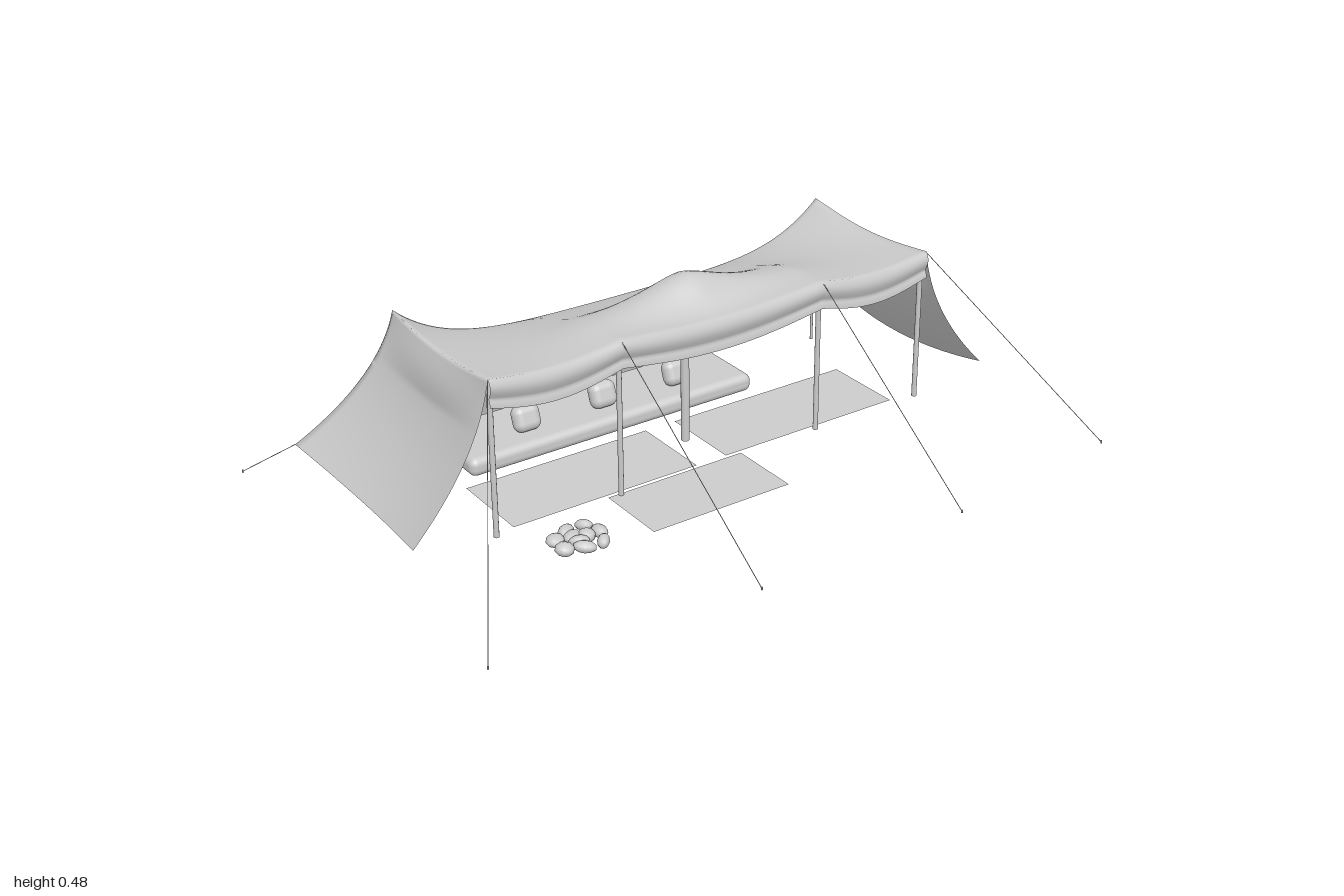
import * as THREE from 'three';
import { mergeVertices, mergeGeometries } from 'three/addons/utils/BufferGeometryUtils.js';
import { ParametricGeometry } from 'three/addons/geometries/ParametricGeometry.js';
import { RoundedBoxGeometry } from 'three/addons/geometries/RoundedBoxGeometry.js';

const W = 0.65, FRONT = 0.065, BACK = -0.4, GROUND = 0.018;
const POSTS = [-0.65, -0.29, 0.31, 0.65];
const { lerp } = THREE.MathUtils;

// Sag between neighbouring front posts: 0 at a post, 1 midway
function swag(x) {
  for (let i = 0; i < 3; i++) {
    if (x <= POSTS[i + 1]) {
      return Math.sin(Math.PI * Math.max(0, (x - POSTS[i]) / (POSTS[i + 1] - POSTS[i])));
    }
  }
  return 0;
}

// Roof: scalloped front edge, rounded fall to a low rear edge, peak over the centre pole
function roofPoint(s, v, out) {
  const x = s * W, z = lerp(FRONT, BACK, v);
  const front = 0.44 - 0.018 * swag(x);
  const back = 0.44 - 0.115 * (1 - Math.abs(s) ** 5) - 0.012 * (1 - s * s);
  const slack = 0.006 + 0.014 * s * s;
  const peak = 0.083 * Math.exp(-(Math.abs(x / 0.18) ** 1.5) - Math.abs((z + 0.097) / 0.085) ** 2.5);
  return out.set(x, lerp(front, back, v * v) - slack * Math.sin(Math.PI * v) + peak, z);
}

// Rear wall: rounded below the eave, flared to the staked corners, with a few slack folds
function backPoint(s, t, out) {
  roofPoint(s, 1, out);
  const bow = 4 * t * (1 - t), y0 = out.y;
  out.x = s * (lerp(W, 0.865, t) - 0.04 * bow);
  out.y = lerp(y0, 0.015 + 0.05 * s * s, t);
  out.z = lerp(BACK, -0.475 - 0.09 * s * s, t) + 0.022 * bow * s * s;
  out.z -= 0.014 * (1 - s ** 4) * Math.sin(Math.PI * Math.min(1, t * 2));
  const fold = Math.exp(-((out.x / 0.2) ** 2) - ((t - 0.36) / 0.16) ** 2);
  out.z += 0.004 * fold * Math.sin(t * 36 + 20 * out.x * out.x);
  return out;
}

// End wall: curves outward to a hem that lifts at both corners
function sidePoint(side, v, t, out) {
  roofPoint(side, v, out);
  const bow = 4 * t * (1 - t), mid = 4 * v * (1 - v);
  out.x = side * (lerp(W, 0.865 - 0.025 * mid, t) - 0.04 * bow);
  out.x += side * 0.012 * mid * Math.sin(Math.PI * Math.min(1, t * 3));
  out.y = lerp(out.y, 0.065 - 0.025 * mid, t);
  out.z += -0.165 * t * v + 0.022 * bow * v;
  return out;
}

// Rolled front edge with a short strip hanging below it
function valancePoint(s, t, out) {
  roofPoint(s, 0, out);
  out.y -= (0.072 + 0.012 * swag(s * W)) * t;
  out.z += 0.012 * Math.abs(Math.sin(Math.PI * t * 1.4)) * (1 - 0.5 * t);
  return out;
}

function createCanopy() {
  const panels = [
    new ParametricGeometry((u, v, p) => roofPoint(u * 2 - 1, v, p), 72, 32),
    new ParametricGeometry((u, v, p) => backPoint(u * 2 - 1, v, p), 72, 40),
    new ParametricGeometry((u, v, p) => valancePoint(1 - u * 2, v, p), 72, 14),
    ...[-1, 1].map(side => new ParametricGeometry(
      (u, v, p) => sidePoint(side, side > 0 ? 1 - u : u, v, p), 32, 40)),
  ];
  for (const g of panels) {
    g.deleteAttribute('normal');
    g.deleteAttribute('uv');
  }
  // Weld the panels so the seams shade softly
  const cloth = mergeVertices(mergeGeometries(panels), 1e-4);
  cloth.computeVertexNormals();
  return cloth;
}

export function createModel() {
  const model = new THREE.Group();
  const grey = new THREE.MeshStandardMaterial({ color: 0xcccccc });
  const fabric = new THREE.MeshStandardMaterial({ color: 0xcccccc, side: THREE.DoubleSide });

  function add(name, geometry, x = 0, y = 0, z = 0, material = grey) {
    const mesh = new THREE.Mesh(geometry, material);
    mesh.name = name;
    mesh.position.set(x, y, z);
    model.add(mesh);
    return mesh;
  }

  // Straight round bar between two points
  function bar(name, a, b, r, sides = 10) {
    const from = new THREE.Vector3(...a), to = new THREE.Vector3(...b);
    const dir = to.clone().sub(from);
    const mesh = add(name, new THREE.CylinderGeometry(r, r, dir.length(), sides));
    mesh.position.copy(from).add(to).multiplyScalar(0.5);
    mesh.quaternion.setFromUnitVectors(new THREE.Vector3(0, 1, 0), dir.normalize());
  }

  add('canopy', createCanopy(), 0, 0, 0, fabric);

  // Poles
  for (const x of [-0.64, -0.29, 0.31, 0.645]) {
    bar('frontPole', [x, GROUND, 0.05], [x, 0.43, 0.05], 0.007);
  }
  bar('centrePole', [0, GROUND, -0.095], [0, 0.485, -0.095], 0.011, 14);
  for (const x of [-0.64, 0.64]) bar('rearPole', [x, GROUND, -0.392], [x, 0.425, -0.392], 0.004);

  // Guy ropes with pegs
  const ropes = [
    [[-0.65, 0.437, 0.065], [-0.925, GROUND, 0.51]],
    [[-0.29, 0.437, 0.065], [-0.265, GROUND, 0.592]],
    [[0.31, 0.437, 0.065], [0.335, GROUND, 0.592]],
    [[0.65, 0.437, 0.065], [0.865, GROUND, 0.53]],
    [[-0.865, 0.065, -0.565], [-0.998, GROUND, -0.593]],
    [[0.865, 0.065, -0.565], [0.998, GROUND, -0.593]],
  ];
  for (const [top, end] of ropes) {
    bar('guyRope', top, end, 0.001, 6);
    bar('peg', [end[0], GROUND - 0.004, end[2]], [end[0], GROUND + 0.004, end[2]], 0.002, 6);
  }

  // Mattress and cushions
  add('mattress', new RoundedBoxGeometry(0.86, 0.05, 0.225, 4, 0.02), -0.12, 0.041, -0.3375);
  for (const x of [-0.35, -0.12, 0.11]) {
    const cushion = add('cushion', new RoundedBoxGeometry(0.075, 0.07, 0.046, 5, 0.022), x, 0.1, -0.3);
    cushion.rotation.x = -0.35;
  }

  // Ground rugs: x centre, z centre, width, depth
  for (const [x, z, w, d] of [
    [-0.32, -0.08, 0.53, 0.23], [0.305, -0.08, 0.54, 0.23], [-0.125, 0.145, 0.4, 0.2],
  ]) {
    const rug = add('rug', new THREE.PlaneGeometry(w, d), x, GROUND, z, fabric);
    rug.rotation.x = -Math.PI / 2;
  }

  // Fire ring: uneven outer stones around a small heap
  for (let i = 0; i < 10; i++) {
    const outer = i < 7, angle = outer ? i * Math.PI * 2 / 7 : i * Math.PI * 2 / 3;
    const r = outer ? 0.051 + 0.008 * Math.sin(i * 2.3) : 0.018;
    const rock = add('fireStone', new THREE.SphereGeometry(0.02, 10, 7),
      -0.487 + r * Math.cos(angle) * 1.1, 0.022, 0.172 + r * Math.sin(angle));
    rock.scale.set(0.95 + 0.2 * Math.sin(i * 5), 0.75 + 0.1 * Math.sin(i * 3), 1.3 + 0.15 * Math.sin(i * 4));
    rock.rotation.set(0.2 * Math.sin(i * 7), -angle + 0.5 * Math.sin(i * 9), 0);
  }
  return model;
}
